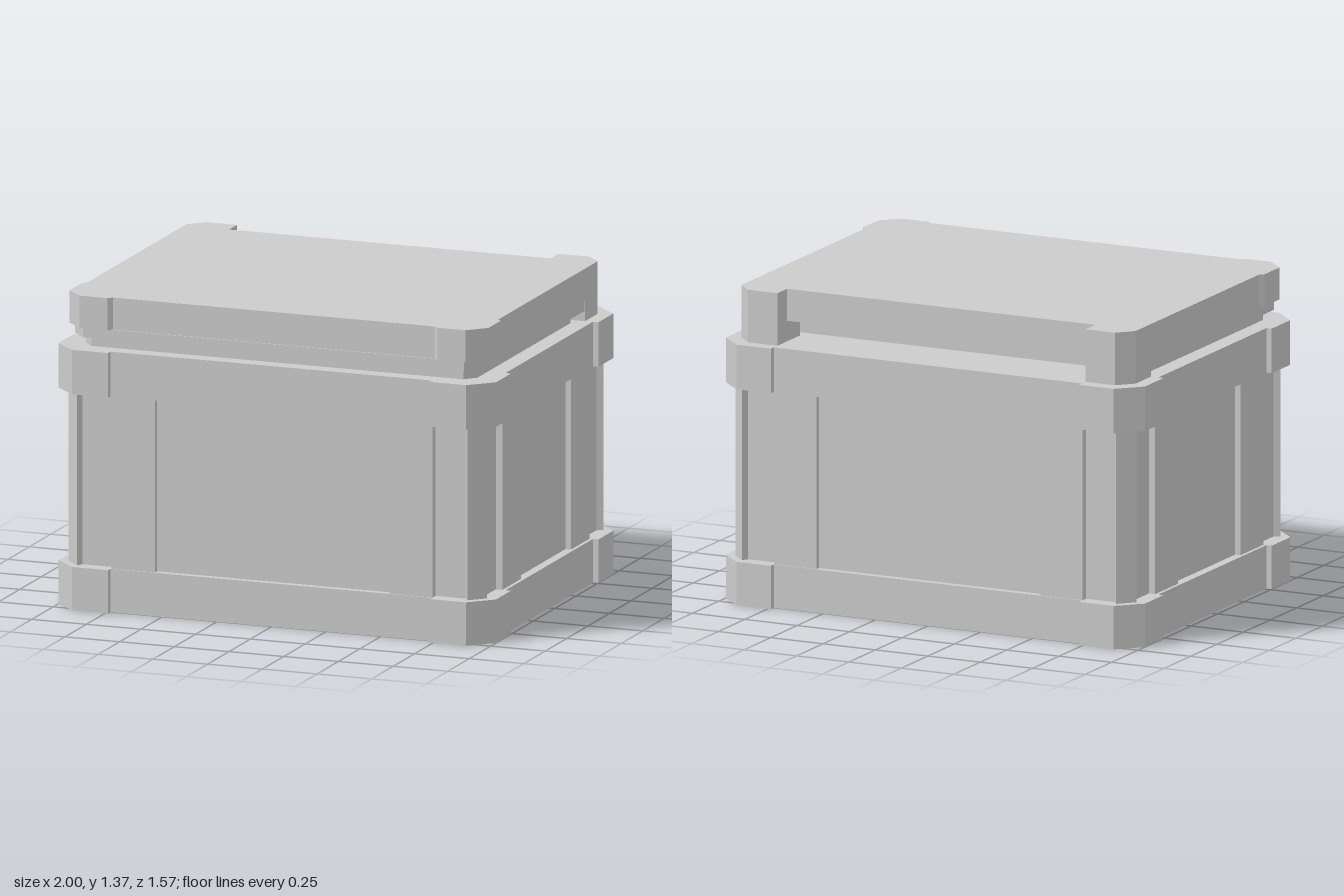
import * as THREE from 'three';

const material = new THREE.MeshStandardMaterial({ color: 0xcccccc, flatShading: true });

// Prism standing on y0 with an [x, z] plan outline
function prism(name, outline, y0, y1) {
  const shape = new THREE.Shape(outline.map(([x, z]) => new THREE.Vector2(x, -z)));
  const geometry = new THREE.ExtrudeGeometry(shape, { depth: y1 - y0, bevelEnabled: false });
  geometry.rotateX(-Math.PI / 2);
  geometry.translate(0, y0, 0);
  const mesh = new THREE.Mesh(geometry, material);
  mesh.name = name;
  return mesh;
}

// Mirror a half outline (x > 0, front to back) across x
function mirrorX(half) {
  return [...half, ...half.map(([x, z]) => [-x, z]).reverse()];
}

// Mirror a quarter outline (front middle to side middle) across z, then x
function mirrorXZ(quarter) {
  return mirrorX([...quarter, ...quarter.map(([x, z]) => [x, -z]).reverse()]);
}

export function createModel() {
  const model = new THREE.Group();
  model.name = 'crate';

  // Bands with raised, chamfered corner guards
  const band = mirrorXZ([
    [0.735, 0.755], [0.735, 0.783], [0.9, 0.783],
    [1, 0.685], [1, 0.51], [0.975, 0.51],
  ]);
  model.add(prism('baseBand', band, 0, 0.19));
  model.add(prism('rimBand', band, 0.945, 1.14));

  // Walls: recessed centre panel, raised frame, groove, corner post
  const walls = mirrorXZ([
    [0.535, 0.725], [0.535, 0.75], [0.735, 0.75], [0.735, 0.718],
    [0.877, 0.718], [0.892, 0.745], [0.957, 0.68], [0.93, 0.665],
    [0.93, 0.51], [0.96, 0.51], [0.96, 0.293], [0.935, 0.293],
  ]);
  model.add(prism('walls', walls, 0.19, 0.945));

  // Lid, stepping outward from neck to slab
  const lid = new THREE.Group();
  lid.name = 'lid';
  lid.add(prism('lidNeck', mirrorX([
    [0.85, 0.685], [0.895, 0.635], [0.895, -0.455],
  ]), 1.14, 1.185));
  lid.add(prism('lidLip', mirrorX([
    [0.87, 0.73], [0.938, 0.655], [0.938, -0.507],
  ]), 1.185, 1.23));
  lid.add(prism('lidSlab', mirrorX([
    [0.735, 0.725], [0.755, 0.743], [0.882, 0.743], [0.958, 0.667],
    [0.958, 0.525], [0.94, 0.507], [0.94, -0.507], [0.735, -0.507], [0.735, -0.63],
  ]), 1.23, 1.37));

  // Rear hinge blocks
  for (const side of [1, -1]) {
    const block = [[0.735, -0.507], [0.94, -0.507], [0.94, -0.655], [0.875, -0.722], [0.735, -0.722]];
    lid.add(prism(side > 0 ? 'leftHingeBlock' : 'rightHingeBlock',
      block.map(([x, z]) => [side * x, z]), 1.14, 1.37));
  }
  model.add(lid);
  return model;
}
